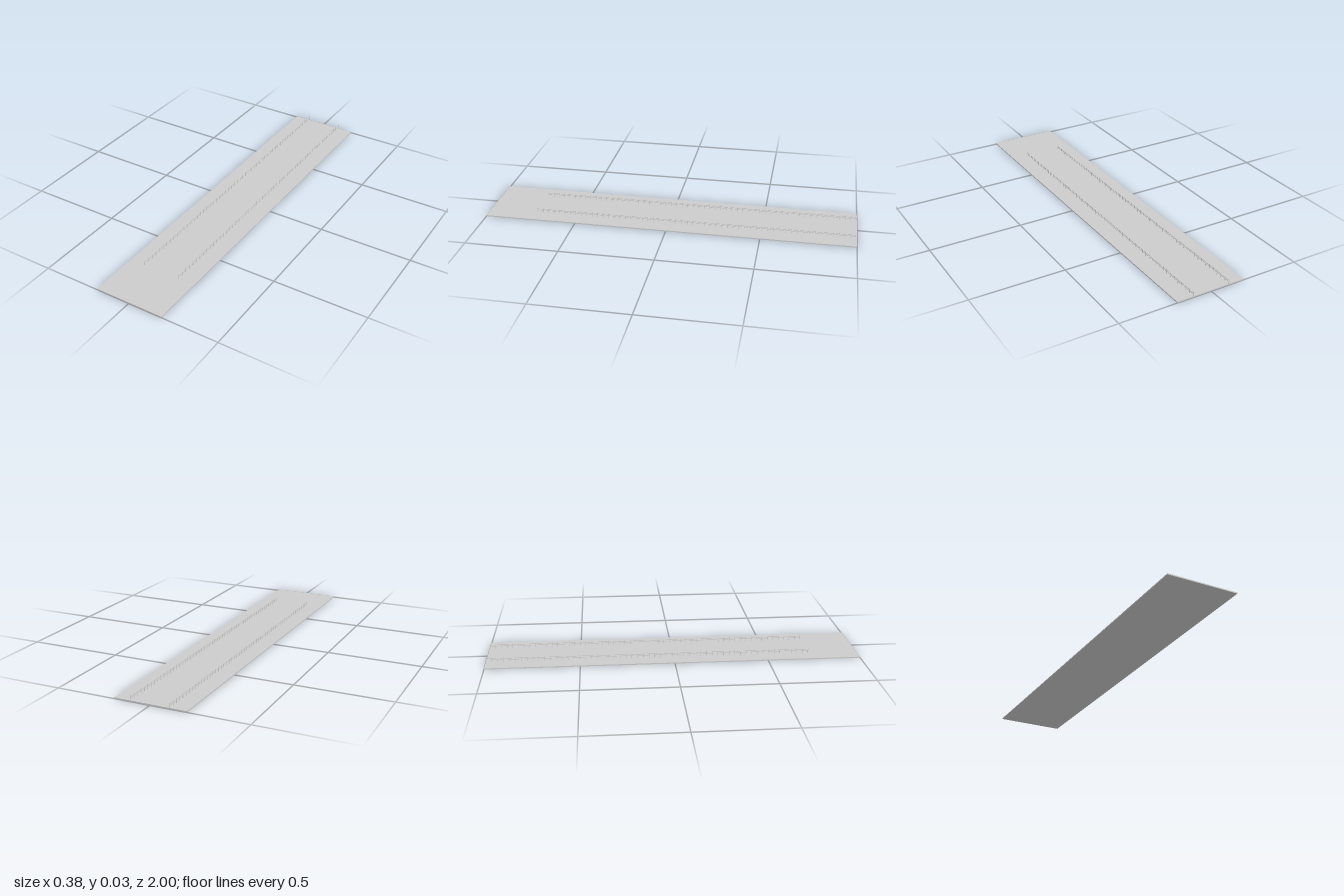
import * as THREE from 'three';

const material = new THREE.MeshStandardMaterial({ color: 0xcccccc });

function box(name, w, h, d, x, y, z) {
  const mesh = new THREE.Mesh(new THREE.BoxGeometry(w, h, d), material);
  mesh.name = name;
  mesh.position.set(x, y, z);
  return mesh;
}

const DECK_TOP = 0.006;
const FENCE_TOP = 0.03;
const FENCE_FRONT = 0.735;
const FENCE_BACK = -1;
const POST = 0.002;
const POST_COUNT = 57;

// Row of posts joined by two thin rails
function createFence(name, x) {
  const fence = new THREE.Group();
  fence.name = name;
  const length = FENCE_FRONT - FENCE_BACK;
  const middle = (FENCE_FRONT + FENCE_BACK) / 2;

  for (const y of [0.0185, 0.0255]) {
    fence.add(box('rail', 0.0015, 0.002, length, x, y, middle));
  }

  const height = FENCE_TOP - DECK_TOP;
  const first = FENCE_BACK + POST / 2;
  const step = (length - POST) / (POST_COUNT - 1);
  for (let i = 0; i < POST_COUNT; i++) {
    fence.add(box('post', POST, height, POST, x, DECK_TOP + height / 2, first + i * step));
  }
  return fence;
}

export function createModel() {
  const model = new THREE.Group();
  model.name = 'fencedDeck';

  // Long flat deck
  model.add(box('deck', 0.38, DECK_TOP, 2, 0, DECK_TOP / 2, 0));

  // Fences run from the back edge and stop short of the front
  model.add(createFence('leftFence', 0.101));
  model.add(createFence('rightFence', -0.103));
  return model;
}
